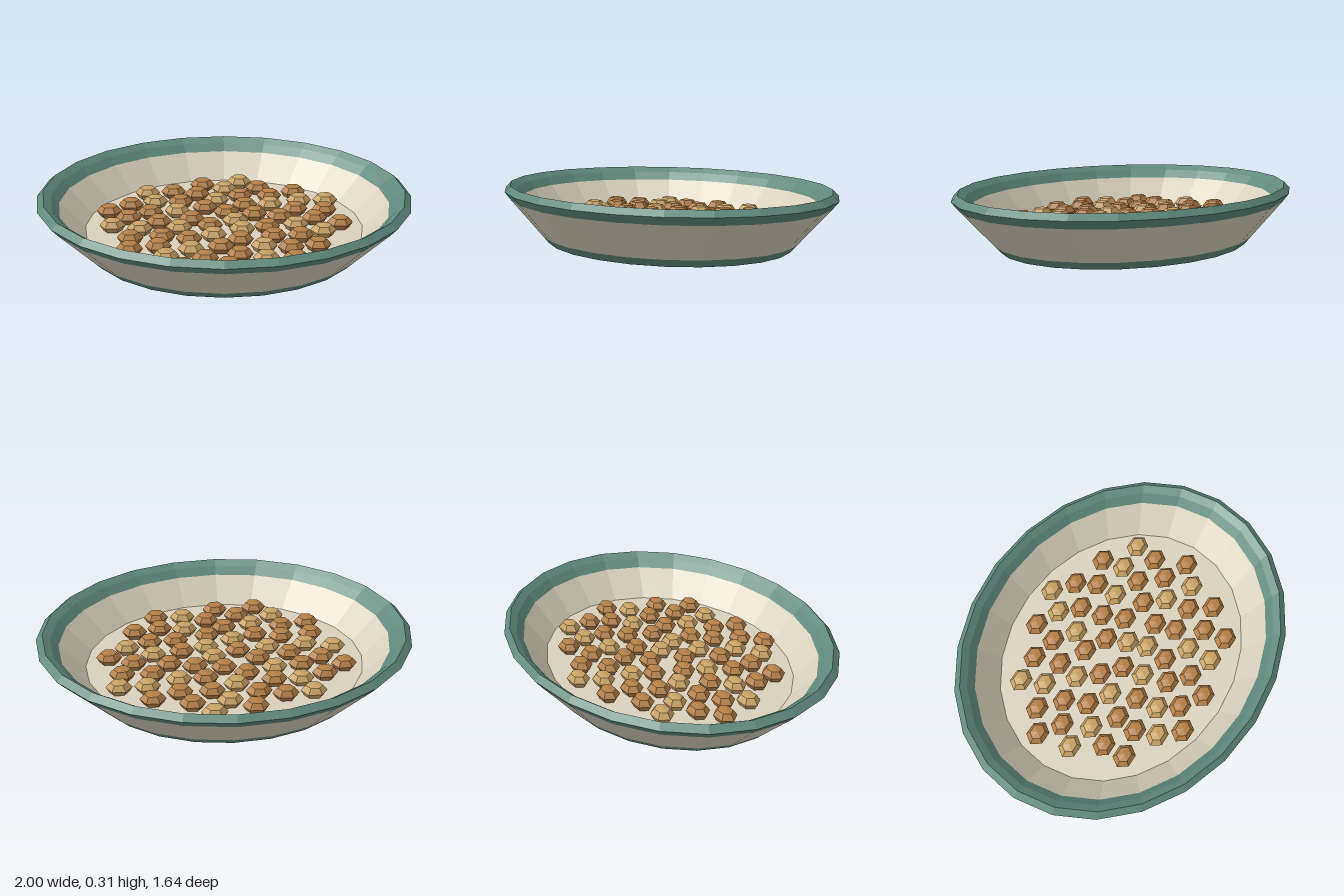
import * as THREE from 'three';

const flat = (name, color) => {
  const m = new THREE.MeshStandardMaterial({ color, flatShading: true });
  m.name = name;
  return m;
};

// Faceted ring or disc turned from [radius, height] points
function turned(name, points, sides, material, start = 0) {
  const profile = points.map(([r, y]) => new THREE.Vector2(r, y));
  const mesh = new THREE.Mesh(new THREE.LatheGeometry(profile, sides, start), material);
  mesh.name = name;
  return mesh;
}

export function createModel() {
  const cream = flat('cream', 0xd9d1bd);
  const teal = flat('teal', 0x5f897c);
  const brown = flat('brown', 0xb57f46);
  const tan = flat('tan', 0xc9a264);

  const model = new THREE.Group();
  model.name = 'filledDish';

  // Everything is round, then squashed into an oval
  const oval = new THREE.Group();
  oval.name = 'oval';
  oval.scale.z = 0.82;
  model.add(oval);

  // Dish, from the underside out, over the rim and back to the floor
  const sides = 24;
  oval.add(
    turned('underside', [[0, 0], [0.735, 0]], sides, cream),
    turned('footBand', [[0.735, 0], [0.773, 0.04]], sides, teal),
    turned('outerWall', [[0.773, 0.04], [0.962, 0.235]], sides, cream),
    turned('rim', [[0.962, 0.235], [1, 0.278], [0.965, 0.31], [0.925, 0.283], [0.885, 0.24]], sides, teal),
    turned('innerWall', [[0.885, 0.24], [0.75, 0.1]], sides, cream),
    turned('floor', [[0.75, 0.1], [0, 0.1]], sides, cream),
  );

  // Pieces of food laid out in a sunflower spiral, every third one paler
  const food = new THREE.Group();
  food.name = 'food';
  const shape = [[0, -0.035], [0.05, -0.03], [0.07, 0], [0.045, 0.03], [0, 0.037]];
  const piece = turned('foodPiece', shape, 6, brown, Math.PI / 2);
  const count = 62;
  const goldenAngle = Math.PI * (3 - Math.sqrt(5));
  for (let i = 0; i < count; i++) {
    const r = 0.66 * Math.sqrt((i + 0.5) / count);
    const a = i * goldenAngle;
    const p = piece.clone();
    p.material = i % 3 === 0 ? tan : brown;
    p.position.set(r * Math.cos(a), 0.135, r * Math.sin(a));
    food.add(p);
  }
  oval.add(food);

  return model;
}
